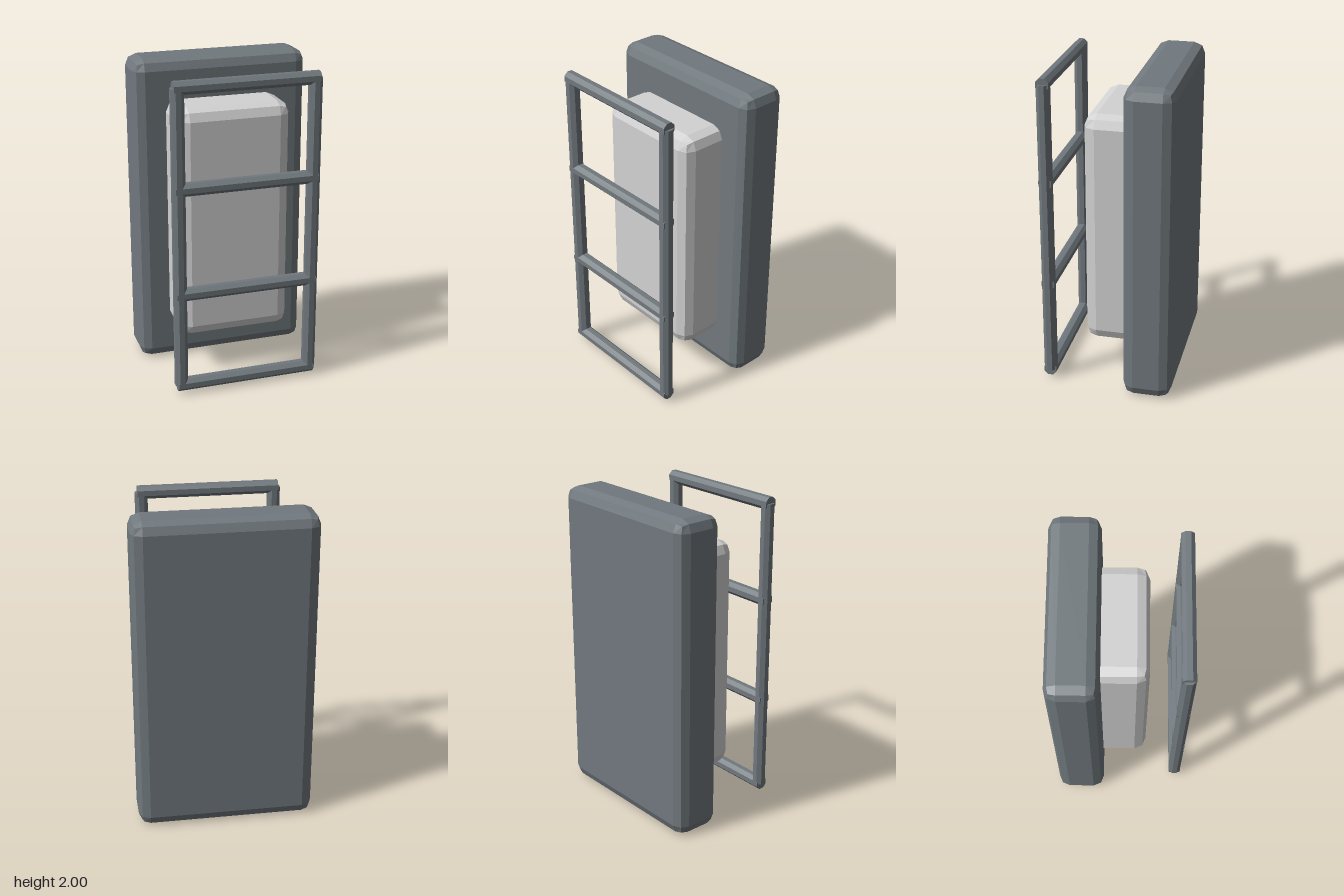
import * as THREE from 'three';
import { RoundedBoxGeometry } from 'three/addons/geometries/RoundedBoxGeometry.js';

export function createModel() {
  const model = new THREE.Group();
  const steel = new THREE.MeshStandardMaterial({ color: 0x71797e, flatShading: true });
  steel.name = 'steelGrey';
  const pale = new THREE.MeshStandardMaterial({ color: 0xd3d3d3, flatShading: true });
  pale.name = 'paleGrey';

  const add = (parent, name, geometry, material, x, y, z) => {
    const mesh = new THREE.Mesh(geometry, material);
    mesh.name = name;
    mesh.position.set(x, y, z);
    parent.add(mesh);
    return mesh;
  };

  // Back slab and the raised block set into its front
  add(model, 'backPanel', new RoundedBoxGeometry(1.11, 2, 0.305, 1, 0.07), steel, 0, 1, -0.267);
  add(model, 'frontBlock', new RoundedBoxGeometry(0.72, 1.49, 0.37, 1, 0.075), pale, 0, 1.005, -0.017);

  // Free-standing guard frame of eight-sided rods
  const guard = new THREE.Group();
  guard.name = 'guardFrame';
  guard.position.z = 0.375;
  model.add(guard);

  const rod = (length) => new THREE.CylinderGeometry(0.0425, 0.0425, length, 8).rotateY(Math.PI / 8);
  for (const side of [-1, 1]) {
    add(guard, side > 0 ? 'leftUpright' : 'rightUpright', rod(1.89), steel, side * 0.42, 1.005, 0);
  }
  [0.06, 0.67, 1.34, 1.95].forEach((y, i) => {
    add(guard, `crossBar${i + 1}`, rod(0.89).rotateZ(Math.PI / 2), steel, 0, y, 0);
  });

  return model;
}
